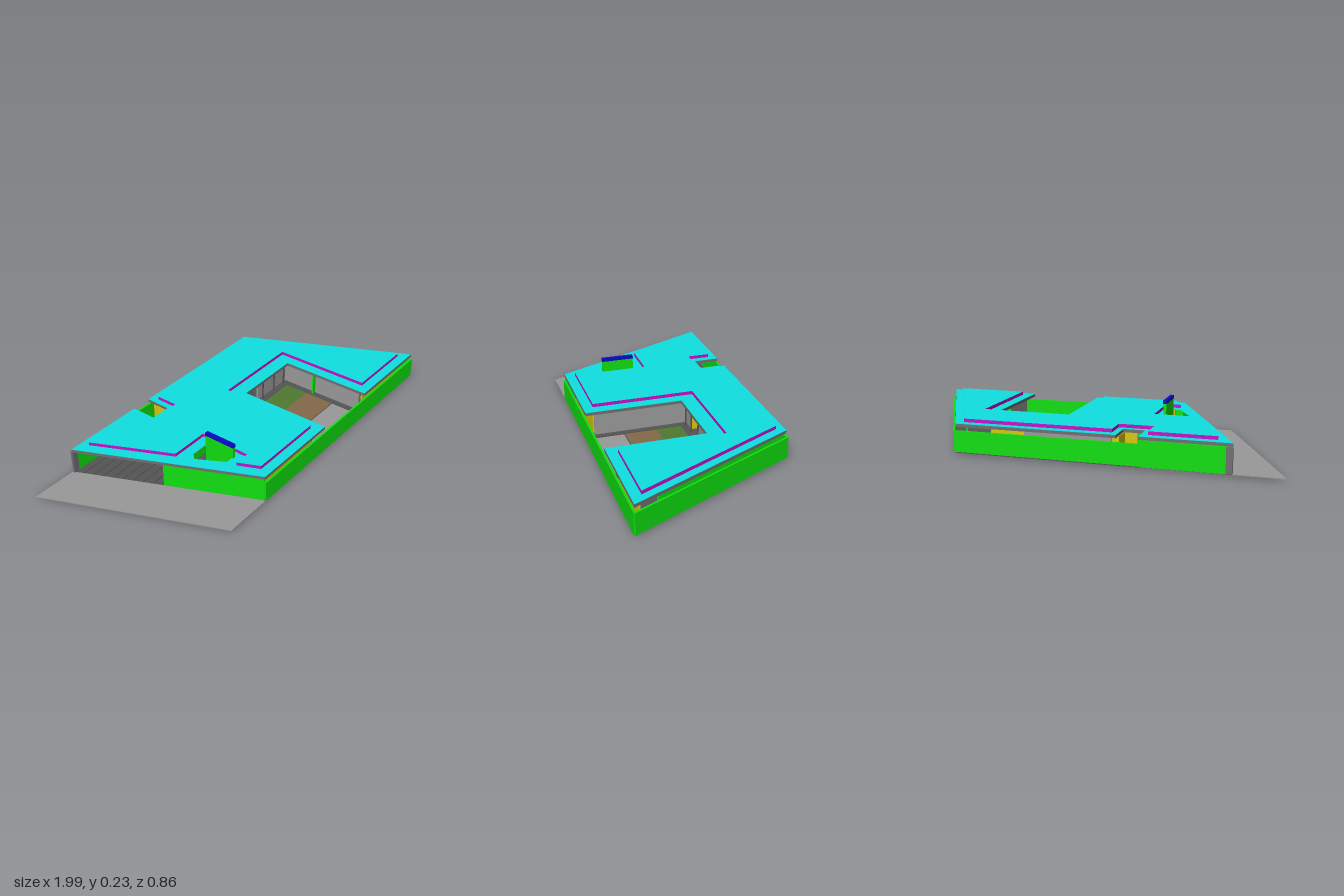
import * as THREE from 'three';

const mat = (color) => new THREE.MeshStandardMaterial({ color });
const M = {
  green: mat(0x10e010), grey: mat(0x707070), cyan: mat(0x0fe0e2), magenta: mat(0xc810c8),
  blue: mat(0x0a0ac8), yellow: mat(0xd8c80a), paving: mat(0x999999), floor: mat(0x555555),
  olive: mat(0x4f7a30), brown: mat(0x86694a), pale: mat(0x9a9a9a),
};

export function createModel() {
  const group = new THREE.Group();

  // Flat plate from plan points [x, z], between two heights
  const toPoints = (pts) => pts.map(([x, z]) => new THREE.Vector2(x, -z));
  const plate = (name, pts, y0, y1, material, holes = []) => {
    const shape = new THREE.Shape(toPoints(pts));
    holes.forEach((h) => shape.holes.push(new THREE.Path(toPoints(h))));
    const geo = new THREE.ExtrudeGeometry(shape, { depth: y1 - y0, bevelEnabled: false });
    geo.rotateX(-Math.PI / 2);
    const mesh = new THREE.Mesh(geo, material);
    mesh.position.y = y0;
    mesh.name = name;
    group.add(mesh);
  };

  // Upright wall between two plan points
  const wall = (name, [ax, az], [bx, bz], y0, y1, material, t = 0.01) => {
    const geo = new THREE.BoxGeometry(Math.hypot(bx - ax, bz - az), y1 - y0, t);
    const mesh = new THREE.Mesh(geo, material);
    mesh.position.set((ax + bx) / 2, (y0 + y1) / 2, (az + bz) / 2);
    mesh.rotation.y = -Math.atan2(bz - az, bx - ax);
    mesh.name = name;
    group.add(mesh);
  };

  const rect = (x0, x1, z0, z1) => [[x0, z0], [x1, z0], [x1, z1], [x0, z1]];

  // Side paving and floor, with the courtyard and the porch left out
  plate('sidePaving', [[-1, -0.43], [-0.765, -0.43], [-0.37, 0.43], [-0.625, 0.43]], 0.011, 0.016, M.paving);
  plate('floor', [
    [-0.35, -0.43], [0.57, -0.43], [0.98, 0.42], [0.49, 0.42], [0.49, -0.06],
    [0.12, -0.06], [0.12, 0.42], [-0.37, 0.42], [-0.57, -0.02], [-0.35, -0.02],
  ], 0.011, 0.015, M.floor);

  // Courtyard ground, in three bands
  plate('courtyardLawn', rect(0.12, 0.49, -0.06, 0.07), 0.009, 0.013, M.olive);
  plate('courtyardDeck', rect(0.12, 0.49, 0.07, 0.23), 0.009, 0.012, M.brown);
  plate('courtyardPaving', [[0.11, 0.235], [0.765, 0.235], [0.855, 0.42], [0.11, 0.42]], 0.002, 0.01, M.paving);

  // Porch floor slats at the open back end
  const slats = 9;
  for (let i = 0; i < slats; i++) {
    const z0 = -0.425 + i * 0.045;
    const z1 = z0 + 0.042;
    const edge = (z) => -0.765 + (z + 0.43) * 0.465;
    plate('porchSlat', [[edge(z0), z0], [-0.35, z0], [-0.35, z1], [edge(z1), z1]], 0.011, 0.015, M.floor);
  }

  // Outer walls
  wall('frontWall', [-0.37, 0.425], [0.99, 0.425], 0.013, 0.12, M.green);
  wall('rightWall', [0.575, -0.427], [0.99, 0.427], 0.013, 0.12, M.green);
  wall('backWall', [-0.735, -0.425], [0.575, -0.425], 0.013, 0.12, M.green);
  wall('backWallRaised', [-0.735, -0.425], [-0.36, -0.425], 0.12, 0.137, M.green);
  wall('backPost', [-0.765, -0.422], [-0.735, -0.422], 0.015, 0.137, M.grey, 0.014);
  wall('leftWall', [-0.567, -0.02], [-0.367, 0.42], 0.013, 0.137, M.green);

  // Inner walls up to the roof: colour, from, to
  const inner = [
    [M.yellow, [-0.33, 0.375], [0.07, 0.375]],
    [M.yellow, [0.55, 0.375], [0.88, 0.375]],
    [M.green, [0.54, -0.36], [0.86, 0.29]],
    [M.green, [-0.5, -0.025], [-0.08, -0.025]],
    [M.green, [0.5, 0.1], [0.62, 0.1]],
    [M.yellow, [-0.34, -0.29], [-0.34, -0.14]],
    [M.yellow, [-0.27, -0.18], [-0.09, -0.18]],
    [M.yellow, [-0.23, -0.38], [-0.23, -0.28]],
    [M.pale, [-0.2, -0.385], [0.23, -0.385]],
    [M.yellow, [0.23, -0.385], [0.4, -0.385]],
    [M.pale, [0.07, -0.1], [0.17, -0.1]],
    [M.yellow, [0.17, -0.1], [0.17, -0.2]],
    [M.pale, [0.27, -0.1], [0.52, -0.1]],
    [M.pale, [0.085, -0.1], [0.085, 0.375]],
    [M.pale, [0.525, -0.1], [0.525, 0.375]],
    [M.pale, [0.1, -0.22], [0.1, -0.38]],
  ];
  inner.forEach(([m, a, b]) => wall('innerWall', a, b, 0.012, 0.137, m, 0.008));

  // Courtyard window posts
  for (const x of [0.12, 0.2, 0.3, 0.4, 0.49]) {
    wall('windowPost', [x - 0.003, -0.085], [x + 0.003, -0.085], 0.013, 0.137, M.floor, 0.006);
  }

  // Lower roof: grey slab with a coloured sheet on top
  const roof = [
    [-0.765, -0.42], [-0.335, -0.42], [-0.335, -0.29], [-0.23, -0.29], [-0.23, -0.42],
    [0.57, -0.42], [0.98, 0.424], [0.49, 0.424], [0.49, -0.06], [0.12, -0.06],
    [0.12, 0.424], [-0.37, 0.424],
  ];
  const opening = [[-0.465, 0.085], [-0.44, 0.058], [-0.338, 0.058], [-0.338, 0.218], [-0.39, 0.218]];
  plate('roofSlab', roof, 0.137, 0.152, M.grey, [opening]);
  plate('roofTop', roof, 0.152, 0.153, M.cyan, [opening]);

  // Raised upper roof, set in from the edges, with contrasting sides
  plate('upperRoof', [
    [-0.69, -0.378], [-0.37, -0.378], [-0.37, -0.265], [-0.2, -0.265], [-0.2, -0.378],
    [0.545, -0.378], [0.915, 0.375], [0.545, 0.375], [0.545, -0.135], [0.065, -0.135],
    [0.065, 0.375], [-0.335, 0.375], [-0.383, 0.27], [-0.305, 0.27], [-0.305, 0.005], [-0.505, 0.005],
  ], 0.153, 0.17, [M.cyan, M.magenta]);

  // Chimney wall rising through the roof opening
  wall('chimney', [-0.345, 0.06], [-0.345, 0.225], 0.012, 0.212, M.green, 0.015);
  wall('chimneyCap', [-0.345, 0.06], [-0.345, 0.226], 0.212, 0.229, M.blue, 0.018);

  return group;
}
